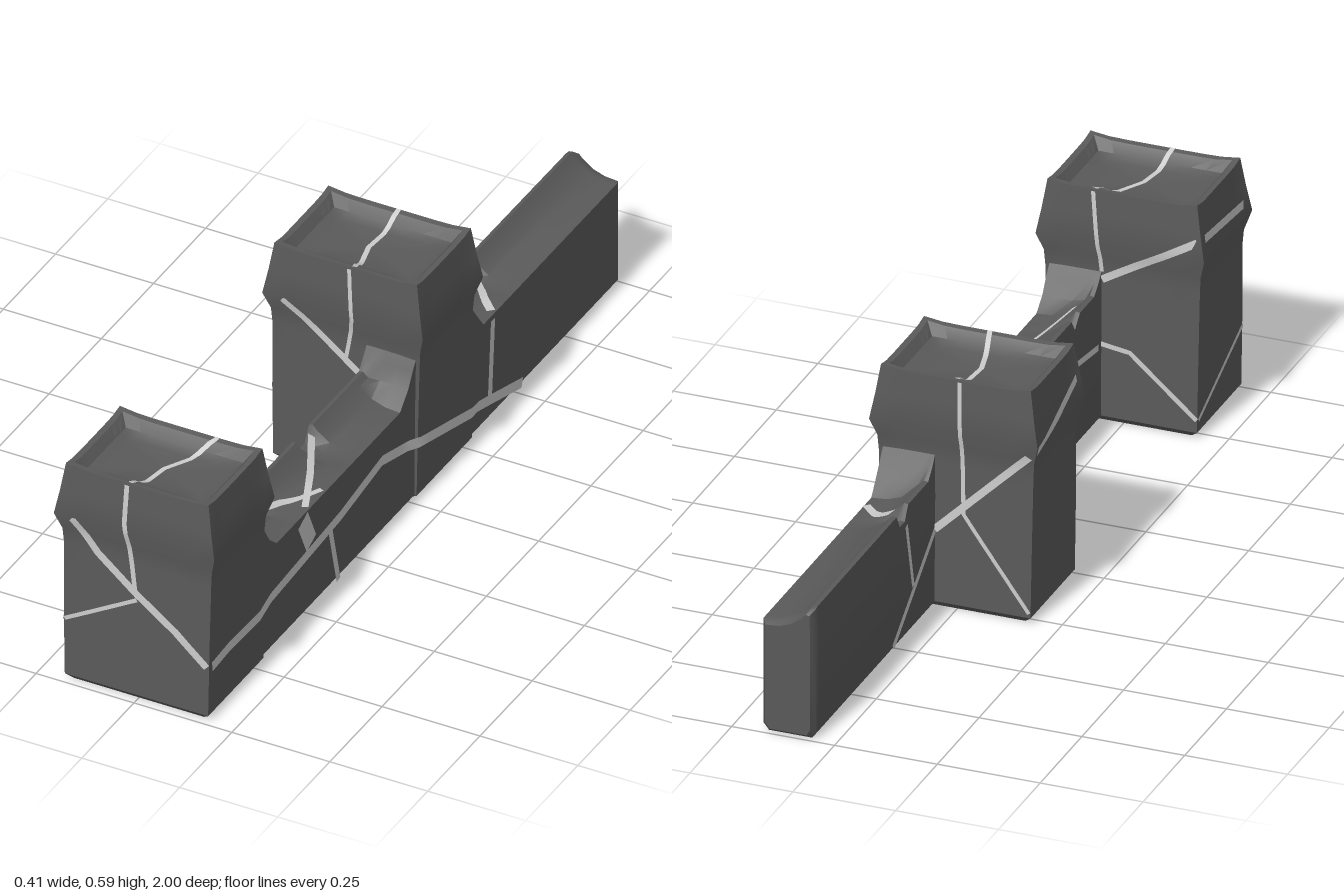
import * as THREE from 'three';
import { toCreasedNormals } from 'three/addons/utils/BufferGeometryUtils.js';

const stone = new THREE.MeshStandardMaterial({ color: 0x5a5a5a });
const crackMat = new THREE.MeshStandardMaterial({ color: 0xcccccc, side: THREE.DoubleSide });

// Skin a list of closed rings of [x, y, z] points
function loft(rings, crease = 0.6) {
  const n = rings[0].length, index = [];
  for (let j = 0; j < rings.length - 1; j++) {
    for (let i = 0; i < n; i++) {
      const a = j * n + i, b = j * n + (i + 1) % n;
      index.push(a, b, b + n, a, b + n, a + n);
    }
  }
  const g = new THREE.BufferGeometry();
  g.setAttribute('position', new THREE.Float32BufferAttribute(rings.flat(2), 3));
  g.setIndex(index);
  return toCreasedNormals(g.toNonIndexed(), crease);
}

function centre(ring, z) {
  const c = [0, 1].map(k => ring.reduce((s, p) => s + p[k], 0) / ring.length);
  return ring.map(() => [c[0], c[1], z]);
}

// Pillar rings: height, half width, half depth, corner flare, corner rise
const PILLAR = [
  [0.012, 0, 0, 0, 0], [0.008, 0.15, 0.11, 0, -0.004], [0.003, 0.165, 0.12, 0, 0],
  [0.018, 0.183, 0.133, 0, 0], [0.2, 0.186, 0.132, 0, 0], [0.37, 0.186, 0.126, 0.01, 0],
  [0.41, 0.187, 0.127, 0.02, 0], [0.455, 0.195, 0.138, 0.05, 0], [0.52, 0.189, 0.134, 0.02, 0],
  [0.583, 0.182, 0.129, 0, 0.007], [0.581, 0.168, 0.115, 0, 0.007],
  [0.56, 0.15, 0.097, 0, 0], [0.552, 0.12, 0.07, 0, 0], [0.55, 0, 0, 0, 0]
];

function pillarGeometry() {
  const n = 8;
  return loft(PILLAR.map(([y, hx, hz, flare, rise]) => {
    const ring = [];
    for (let s = 0; s < 4; s++) {
      for (let i = 0; i < n; i++) {
        const t = -1 + 2 * i / n, w = Math.abs(t) ** 6, k = 1 + flare * w;
        const [x, z] = [[1, -t], [-t, -1], [-1, t], [t, 1]][s];
        ring.push([x * hx * k, y + rise * w, z * hz * k]);
      }
    }
    return ring;
  }));
}

// Half width (1) or half depth (2) of the pillar's side at height y
function halfAt(y, k) {
  for (let i = 3; i < 9; i++) {
    const a = PILLAR[i], b = PILLAR[i + 1];
    if (y <= b[0]) return THREE.MathUtils.lerp(a[k], b[k], Math.max(0, (y - a[0]) / (b[0] - a[0])));
  }
  return PILLAR[9][k];
}

// Wall section, counter-clockwise, with its raised lip on the -x edge
const SECTION = [[0.06, 0.004], [0.165, 0.004], [0.178, 0.02], [0.178, 0.285], [0.14, 0.288],
  [0.105, 0.3], [0.075, 0.322], [0.062, 0.336], [0.052, 0.334], [0.05, 0.28], [0.05, 0.02]];
// Stations along the wall: z, rise towards a pillar, lip height factor
const STATIONS = [[-0.985, 0, 0.9], [-0.97, 0, 0.95], [-0.5, 0, 1], [-0.48, 0, 0.3], [-0.45, 0, 0.3], [-0.43, 0, 1],
  [-0.34, 0, 1], [-0.31, 0.04, 1], [-0.285, 0.075, 1], [-0.262, 0.11, 1], [-0.024, 0.11, 1],
  [0, 0.075, 1], [0.02, 0.04, 1], [0.06, 0, 1], [0.26, 0, 1], [0.28, 0, 0.2], [0.32, 0, 0.2],
  [0.34, 0, 1], [0.55, 0, 1], [0.57, 0, 0.4], [0.6, 0, 1], [0.65, 0, 1], [0.685, 0.03, 1],
  [0.71, 0.07, 1], [0.735, 0.1, 1], [0.86, 0.1, 1]];

function wallGeometry() {
  const rings = STATIONS.map(([z, rise, lip]) => SECTION.map(([x, y]) =>
    [x, y < 0.285 ? y : 0.285 + Math.max((y - 0.285) * lip, rise), z]));
  const end = rings[0].map(([x, y]) => [0.114 + (x - 0.114) * 0.85, 0.16 + (y - 0.16) * 0.93, -1]);
  return loft([centre(end, -1), end, ...rings, centre(rings.at(-1), 0.86)]);
}

// Ribbon of given width along a polyline in (u, v), laid on a surface by place(u, v)
function crack(parent, name, width, points, place) {
  const path = [];
  for (let i = 0; i < points.length - 1; i++) {
    for (let s = 0; s < 6; s++) {
      path.push([0, 1].map(k => THREE.MathUtils.lerp(points[i][k], points[i + 1][k], s / 6)));
    }
  }
  path.push(points.at(-1));
  const pos = [], index = [];
  path.forEach(([u, v], i) => {
    const a = path[Math.max(0, i - 1)], b = path[Math.min(path.length - 1, i + 1)];
    const du = b[0] - a[0], dv = b[1] - a[1], k = width / 2 / Math.hypot(du, dv);
    pos.push(...place(u - dv * k, v + du * k), ...place(u + dv * k, v - du * k));
    if (i) index.push(2 * i - 2, 2 * i - 1, 2 * i, 2 * i - 1, 2 * i + 1, 2 * i);
  });
  const g = new THREE.BufferGeometry();
  g.setAttribute('position', new THREE.Float32BufferAttribute(pos, 3));
  g.setIndex(index);
  g.computeVertexNormals();
  const mesh = new THREE.Mesh(g, crackMat);
  mesh.name = name;
  parent.add(mesh);
}

const LIFT = 0.0025;
const FACE = {
  front: (x, y) => [x, y, halfAt(y, 2) + LIFT],
  back: (x, y) => [x, y, -halfAt(y, 2) - LIFT],
  outer: (z, y) => [-halfAt(y, 1) - LIFT, y, z],
  top: (x, z) => {
    const edge = Math.max(Math.abs(x) / 0.168, Math.abs(z) / 0.115);
    return [x, THREE.MathUtils.mapLinear(THREE.MathUtils.clamp(edge, 0.62, 1), 0.62, 1, 0.555, 0.586), z];
  }
};

function pillar(name, z, cracks) {
  const group = new THREE.Group();
  group.name = name;
  group.position.z = z;
  const body = new THREE.Mesh(pillarGeometry(), stone);
  body.name = name + 'Body';
  group.add(body);
  cracks.forEach(([face, width, points]) => crack(group, face + 'Crack', width, points, FACE[face]));
  return group;
}

export function createModel() {
  const model = new THREE.Group();
  model.name = 'brokenWall';

  const wall = new THREE.Mesh(wallGeometry(), stone);
  wall.name = 'wall';
  model.add(wall);

  // Pillars with their fractures
  model.add(pillar('frontPillar', 0.855, [
    ['front', 0.02, [[-0.186, 0.48], [-0.1, 0.37], [0, 0.29], [0.1, 0.22], [0.18, 0.15]]],
    ['front', 0.01, [[-0.183, 0.17], [0, 0.275]]],
    ['front', 0.012, [[-0.025, 0.58], [-0.028, 0.48], [-0.018, 0.4], [-0.005, 0.3]]],
    ['top', 0.012, [[-0.02, 0.125], [0, 0], [0.07, -0.125]]],
    ['outer', 0.02, [[0.13, 0.48], [-0.12, 0.5]]],
    ['outer', 0.012, [[0.13, 0.17], [-0.13, 0.05]]],
    ['back', 0.012, [[-0.183, 0.05], [-0.02, 0.19], [0.05, 0.2]]],
    ['back', 0.018, [[-0.186, 0.5], [0.05, 0.36]]],
    ['back', 0.01, [[0.07, 0.58], [0.05, 0.38]]]
  ]));
  model.add(pillar('backPillar', -0.143, [
    ['front', 0.018, [[-0.186, 0.47], [0.04, 0.3]]],
    ['front', 0.01, [[0.01, 0.58], [0.02, 0.45], [0, 0.33]]],
    ['top', 0.012, [[0, -0.125], [-0.01, 0], [0.02, 0.125]]],
    ['outer', 0.02, [[0.12, 0.51], [-0.12, 0.43]]],
    ['back', 0.018, [[-0.186, 0.43], [0.05, 0.2]]],
    ['back', 0.01, [[-0.01, 0.58], [-0.015, 0.42], [-0.02, 0.25], [-0.18, 0.03]]]
  ]));

  // Fractures along the wall's flush outer side (z, y), continuing over the pillars
  const flush = (z, y) => [z > 0.7 || (z < 0.02 && z > -0.3) ? 0.1895 : 0.181, y, z];
  crack(model, 'longCrack', 0.026, [[0.98, 0.15], [0.9, 0.156], [0.75, 0.152], [0.35, 0.18],
    [0.15, 0.21], [-0.1, 0.14], [-0.35, 0.07], [-0.52, 0.02]], flush);
  crack(model, 'wideCrack', 0.05, [[0.53, 0.275], [0.49, 0.19]], flush);
  crack(model, 'lowerCrack', 0.018, [[0.4, 0.175], [0.36, 0.012]], flush);
  crack(model, 'upperCrack', 0.02, [[-0.38, 0.275], [-0.365, 0.07]], flush);

  // Fractures on the wall's inner side
  const inner = (z, y) => [0.0475, y, z];
  crack(model, 'innerLongCrack', 0.018, [[-0.28, 0.2], [-0.53, 0.02]], inner);
  crack(model, 'innerUpperCrack', 0.014, [[-0.45, 0.29], [-0.41, 0.12]], inner);
  crack(model, 'innerMiddleCrack', 0.016, [[0, 0.06], [0.4, 0.24], [0.7, 0.2]], inner);

  // Fractures across the wall's sloping top (x, z)
  const slope = (x, z) => [x, 0.291 + 0.05 * Math.max(0, (0.14 - x) / 0.08) ** 1.3, z];
  crack(model, 'topCrackBack', 0.02, [[0.075, -0.47], [0.12, -0.44], [0.17, -0.39]], slope);
  crack(model, 'topCrackMiddle', 0.016, [[0.075, 0.29], [0.12, 0.38], [0.17, 0.5]], slope);
  crack(model, 'topCrackFront', 0.014, [[0.17, 0.42], [0.12, 0.52], [0.08, 0.64]], slope);
  return model;
}
